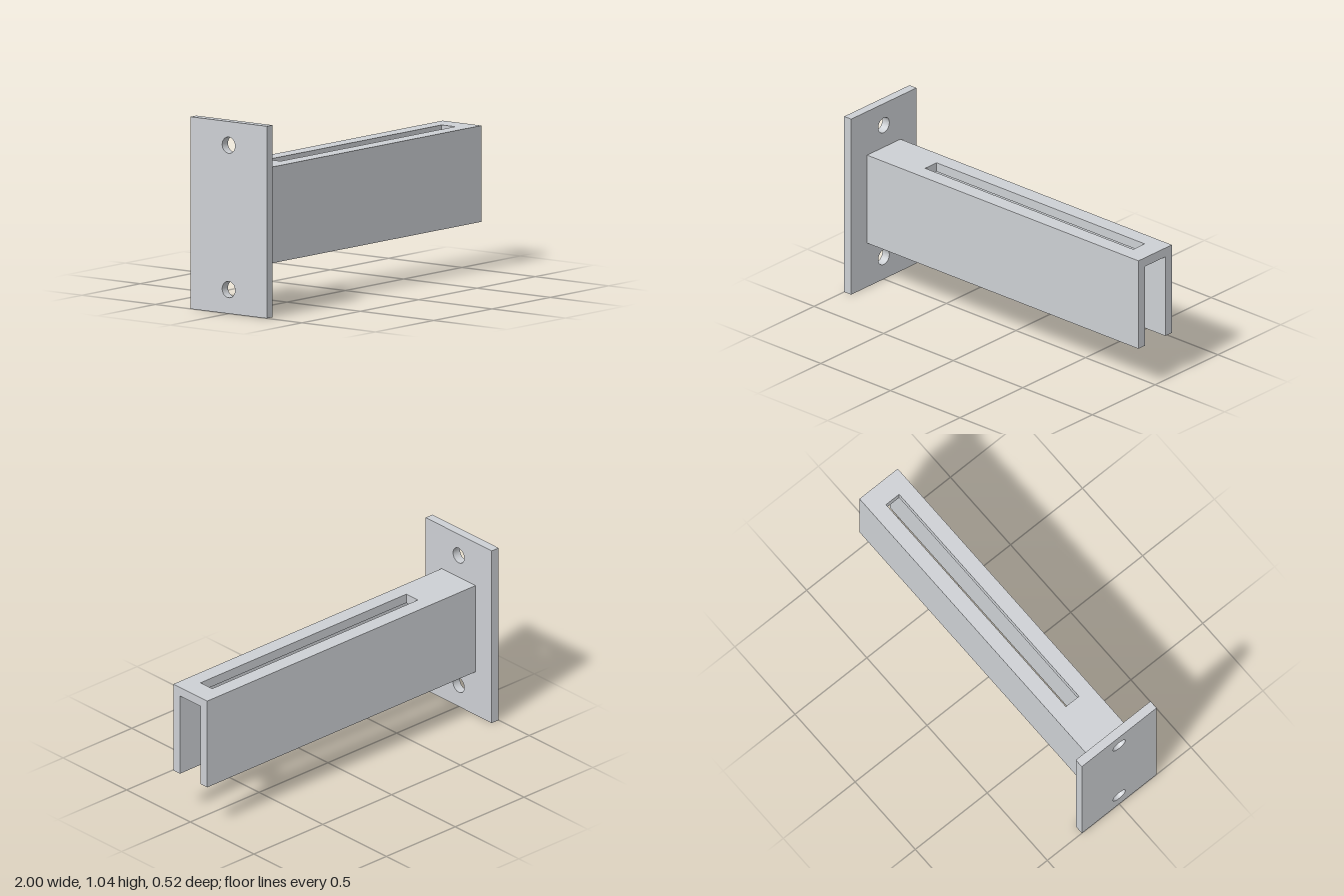
import * as THREE from 'three';

// Rectangle centred on (cx, cy), usable as a shape outline or a hole
function rect(PathType, cx, cy, w, h) {
  const p = new PathType();
  p.moveTo(cx - w / 2, cy - h / 2);
  p.lineTo(cx + w / 2, cy - h / 2);
  p.lineTo(cx + w / 2, cy + h / 2);
  p.lineTo(cx - w / 2, cy + h / 2);
  p.closePath();
  return p;
}

export function createModel() {
  const group = new THREE.Group();
  group.name = 'wallBracket';
  const steel = new THREE.MeshStandardMaterial({ color: 0xcdd0d4 });
  steel.name = 'light grey steel';

  const add = (name, geometry) => {
    const mesh = new THREE.Mesh(geometry, steel);
    mesh.name = name;
    group.add(mesh);
    return mesh;
  };

  const plateX = -1, plateT = 0.05, plateH = 1.038;
  const channelW = 0.266, wall = 0.052, bottom = 0.26, top = 0.78;
  const startX = plateX + plateT, length = 1 - startX, midX = (1 + startX) / 2;

  // Mounting plate with two bolt holes
  const plate = rect(THREE.Shape, 0, plateH / 2, 0.52, plateH);
  for (const y of [0.13, 0.91]) {
    plate.holes.push(new THREE.Path().absarc(0, y, 0.044, 0, Math.PI * 2, true));
  }
  const plateGeo = new THREE.ExtrudeGeometry(plate, { depth: plateT, bevelEnabled: false, curveSegments: 24 });
  plateGeo.rotateY(Math.PI / 2).translate(plateX, 0, 0);
  add('mountingPlate', plateGeo);

  // Top web of the channel with its long slot
  const web = rect(THREE.Shape, midX, 0, length, channelW);
  web.holes.push(rect(THREE.Path, 0.136, 0, 1.495, 0.091));
  const webGeo = new THREE.ExtrudeGeometry(web, { depth: wall, bevelEnabled: false });
  webGeo.rotateX(-Math.PI / 2).translate(0, top - wall, 0);
  add('slottedWeb', webGeo);

  // Side walls of the downward-open channel
  const wallH = top - wall - bottom;
  for (const side of [-1, 1]) {
    const mesh = add(side > 0 ? 'frontWall' : 'backWall', new THREE.BoxGeometry(length, wallH, wall));
    mesh.position.set(midX, bottom + wallH / 2, side * (channelW - wall) / 2);
  }
  return group;
}
